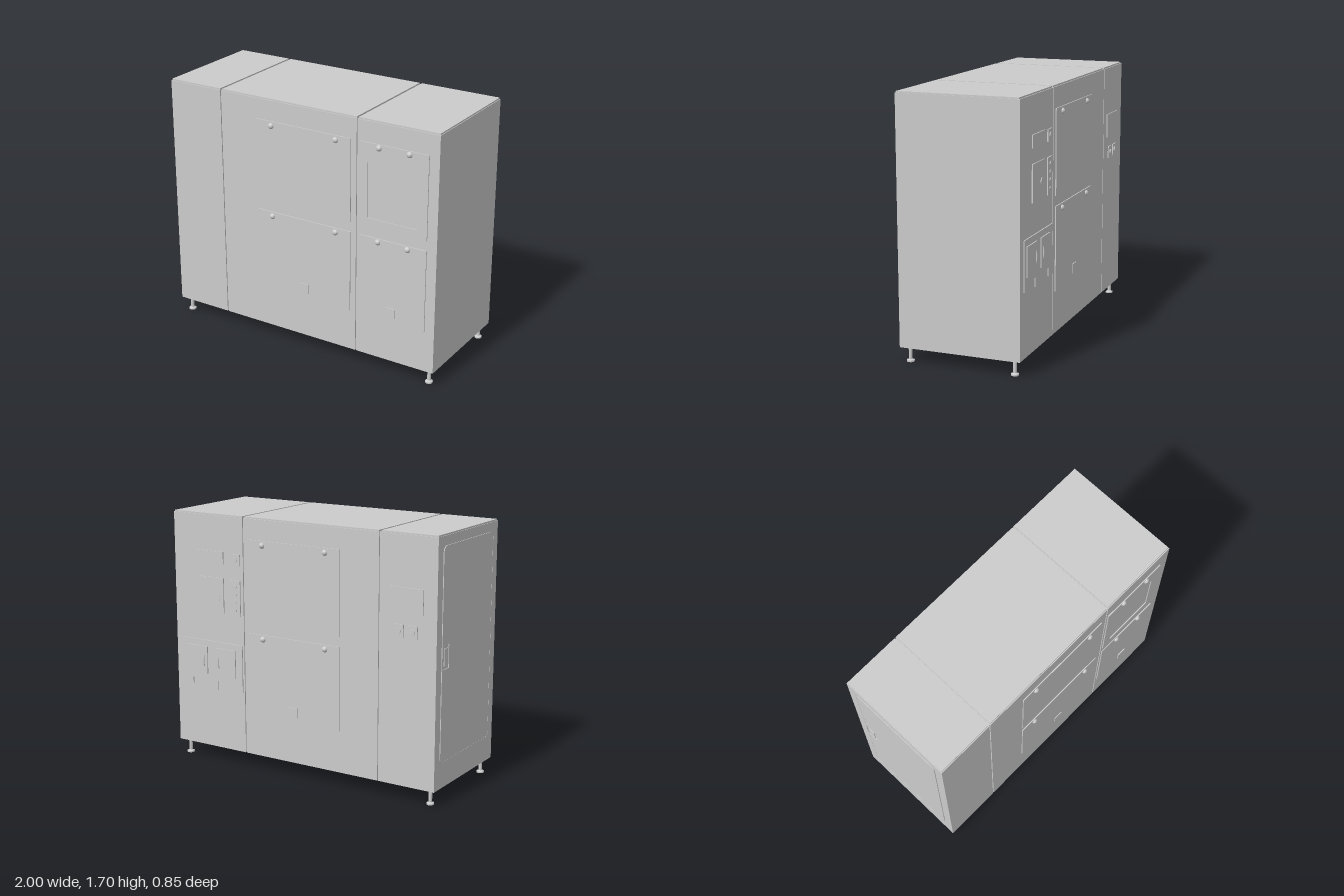
import * as THREE from 'three';

const grey = new THREE.MeshStandardMaterial({ color: 0xcccccc });
const FACE = 0.4; // half depth of the cabinet

function add(parent, name, geometry, x = 0, y = 0, z = 0) {
  const mesh = new THREE.Mesh(geometry, grey);
  mesh.name = name;
  mesh.position.set(x, y, z);
  parent.add(mesh);
  return mesh;
}

// Box given by its limits
function block(parent, name, x0, x1, y0, y1, z0, z1) {
  const g = new THREE.BoxGeometry(Math.abs(x1 - x0), y1 - y0, Math.abs(z1 - z0));
  return add(parent, name, g, (x0 + x1) / 2, (y0 + y1) / 2, (z0 + z1) / 2);
}

// Flat plate on the front (side = 1) or back (side = -1) face
function plate(parent, side, name, x0, x1, y0, y1, height = 0.007, base = 0) {
  return block(parent, name, x0, x1, y0, y1, side * (FACE + base - 0.002), side * (FACE + base + height));
}

// Round button on the front or back face
function button(parent, side, name, x, y, r, height, base = 0) {
  const g = new THREE.CylinderGeometry(r, r, height, 20).rotateX(Math.PI / 2);
  return add(parent, name, g, x, y, side * (FACE + base + height / 2));
}

function knobs(parent, side, xs, y) {
  for (const x of xs) {
    add(parent, 'panelKnob', new THREE.SphereGeometry(0.02, 20, 14), x, y, side * (FACE + 0.004));
  }
}

function rectPath(path, x0, x1, y0, y1) {
  path.moveTo(x0, y0);
  path.lineTo(x1, y0);
  path.lineTo(x1, y1);
  path.lineTo(x0, y1);
  path.closePath();
  return path;
}

function roundedRect(path, x0, x1, y0, y1, r) {
  path.moveTo(x0 + r, y0);
  path.lineTo(x1 - r, y0);
  path.absarc(x1 - r, y0 + r, r, -Math.PI / 2, 0);
  path.lineTo(x1, y1 - r);
  path.absarc(x1 - r, y1 - r, r, 0, Math.PI / 2);
  path.lineTo(x0 + r, y1);
  path.absarc(x0 + r, y1 - r, r, Math.PI / 2, Math.PI);
  path.lineTo(x0, y0 + r);
  path.absarc(x0 + r, y0 + r, r, Math.PI, Math.PI * 1.5);
  return path;
}

const extrude = (shape, depth) =>
  new THREE.ExtrudeGeometry(shape, { depth, bevelEnabled: false, curveSegments: 6 });

// Three cabinet sections around a core, so that narrow seams stay between them
function buildBody(root) {
  const body = new THREE.Group();
  body.name = 'cabinet';
  root.add(body);
  block(body, 'core', -0.98, 0.99, 0.101, 1.686, -0.392, 0.392);
  const cuts = [-0.995, -0.593, 0.433, 1.0];
  for (let i = 0; i < 3; i++) {
    const x0 = cuts[i] + (i > 0 ? 0.004 : 0);
    const x1 = cuts[i + 1] - (i < 2 ? 0.004 : 0);
    block(body, 'cabinetSection', x0, x1, 0.1, 1.69, -FACE, FACE);
    block(body, 'topLid', x0 + 0.004, x1 - 0.004, 1.688, 1.7, -0.394, 0.394);
  }
}

// Pair of large service panels, the same on front and back
function buildMiddlePanels(root, side) {
  const g = new THREE.Group();
  g.name = side > 0 ? 'frontMiddlePanels' : 'backMiddlePanels';
  root.add(g);
  plate(g, side, 'upperPanel', -0.31, 0.39, 1.0, 1.555);
  plate(g, side, 'lowerPanel', -0.31, 0.39, 0.378, 0.934);
  knobs(g, side, [-0.2, 0.28], 1.525);
  knobs(g, side, [-0.2, 0.28], 0.905);
  plate(g, side, 'panelLatch', 0.01, 0.075, 0.415, 0.48, 0.013);
}

// Narrow front panels, the upper one with a recessed screen
function buildFrontRight(root) {
  const g = new THREE.Group();
  g.name = 'frontSidePanels';
  root.add(g);
  const frame = rectPath(new THREE.Shape(), 0.45, 0.932, 1.0, 1.555);
  frame.holes.push(rectPath(new THREE.Path(), 0.511, 0.865, 1.06, 1.425));
  add(g, 'screenFrame', extrude(frame, 0.008), 0, 0, FACE - 0.001);
  plate(g, 1, 'screen', 0.511, 0.865, 1.06, 1.425, 0.001);
  plate(g, 1, 'lowerPanel', 0.45, 0.932, 0.378, 0.934);
  knobs(g, 1, [0.59, 0.8], 1.533);
  knobs(g, 1, [0.59, 0.8], 0.912);
  plate(g, 1, 'panelLatch', 0.657, 0.722, 0.415, 0.48, 0.013);
}

// Controls and dispensing doors on the back
function buildBackControls(root) {
  const g = new THREE.Group();
  g.name = 'backControls';
  root.add(g);
  plate(g, -1, 'displayPlate', 0.595, 0.805, 1.372, 1.453);
  plate(g, -1, 'lockPlate', 0.46, 0.54, 1.37, 1.447);
  button(g, -1, 'lock', 0.5, 1.409, 0.017, 0.005, 0.007);
  plate(g, -1, 'accessPlate', 0.595, 0.805, 1.04, 1.276);
  button(g, -1, 'accessButton', 0.647, 1.146, 0.025, 0.004, 0.007);
  plate(g, -1, 'buttonStrip', 0.46, 0.54, 1.035, 1.272);
  for (let i = 0; i < 4; i++) {
    button(g, -1, 'stripButton', 0.5, 1.075 + i * 0.052, 0.013, 0.004, 0.007);
  }

  // Backing plate with three tabs along its lower edge
  const outline = [
    [0.45, 0.84], [0.45, 0.515], [0.526, 0.515], [0.526, 0.568], [0.654, 0.568], [0.654, 0.505],
    [0.752, 0.505], [0.752, 0.568], [0.865, 0.568], [0.865, 0.52], [0.94, 0.52], [0.94, 0.84],
  ];
  const shape = new THREE.Shape(outline.map(([x, y]) => new THREE.Vector2(x, y)));
  add(g, 'trayPlate', extrude(shape, 0.008), 0, 0, -FACE - 0.007);
  for (const [x0, x1, hx] of [[0.737, 0.91, 0.765], [0.504, 0.669, 0.642]]) {
    plate(g, -1, 'trayDoor', x0, x1, 0.607, 0.797, 0.007, 0.007);
    const z = -FACE - 0.013;
    const grip = new THREE.CatmullRomCurve3([
      new THREE.Vector3(hx, 0.66, z), new THREE.Vector3(hx, 0.68, z - 0.004),
      new THREE.Vector3(hx, 0.72, z - 0.004), new THREE.Vector3(hx, 0.74, z),
    ]);
    add(g, 'trayDoorHandle', new THREE.TubeGeometry(grip, 12, 0.005, 8));
  }

  // Screen and two dials on the narrow section
  plate(g, -1, 'statusScreen', -0.902, -0.662, 1.207, 1.368);
  for (const x of [-0.733, -0.83]) {
    plate(g, -1, 'dialPlate', x - 0.034, x + 0.034, 1.055, 1.137);
    button(g, -1, 'dial', x, 1.096, 0.019, 0.007, 0.007);
  }
}

// Rounded door with a sunken handle on the right-hand end
function buildEndDoor(root) {
  const g = new THREE.Group();
  g.name = 'endDoor';
  g.rotation.y = -Math.PI / 2;
  g.position.x = -0.995;
  root.add(g);
  const door = roundedRect(new THREE.Shape(), -0.335, 0.335, 0.263, 1.63, 0.04);
  door.holes.push(rectPath(new THREE.Path(), -0.325, -0.245, 0.865, 1.015));
  add(g, 'doorPanel', extrude(door, 0.004));
  // Raised rim along the door edge
  const rim = roundedRect(new THREE.Shape(), -0.335, 0.335, 0.263, 1.63, 0.04);
  rim.holes.push(roundedRect(new THREE.Path(), -0.328, 0.328, 0.27, 1.623, 0.033));
  add(g, 'doorRim', extrude(rim, 0.005));
  block(g, 'doorHandle', -0.305, -0.26, 0.885, 0.995, 0, 0.005);
}

// Adjustable feet at the four corners
function buildFeet(root) {
  const profile = [[0, 0], [0.025, 0], [0.025, 0.01], [0.012, 0.016], [0.012, 0.101]]
    .map(([r, y]) => new THREE.Vector2(r, y));
  const foot = new THREE.LatheGeometry(profile, 20).toNonIndexed();
  foot.computeVertexNormals();
  for (const x of [-0.945, 0.95]) {
    for (const z of [-0.35, 0.35]) add(root, 'foot', foot, x, 0, z);
  }
}

export function createModel() {
  const root = new THREE.Group();
  root.name = 'serviceCabinet';
  buildBody(root);
  buildMiddlePanels(root, 1);
  buildMiddlePanels(root, -1);
  buildFrontRight(root);
  buildBackControls(root);
  buildEndDoor(root);
  buildFeet(root);
  return root;
}
